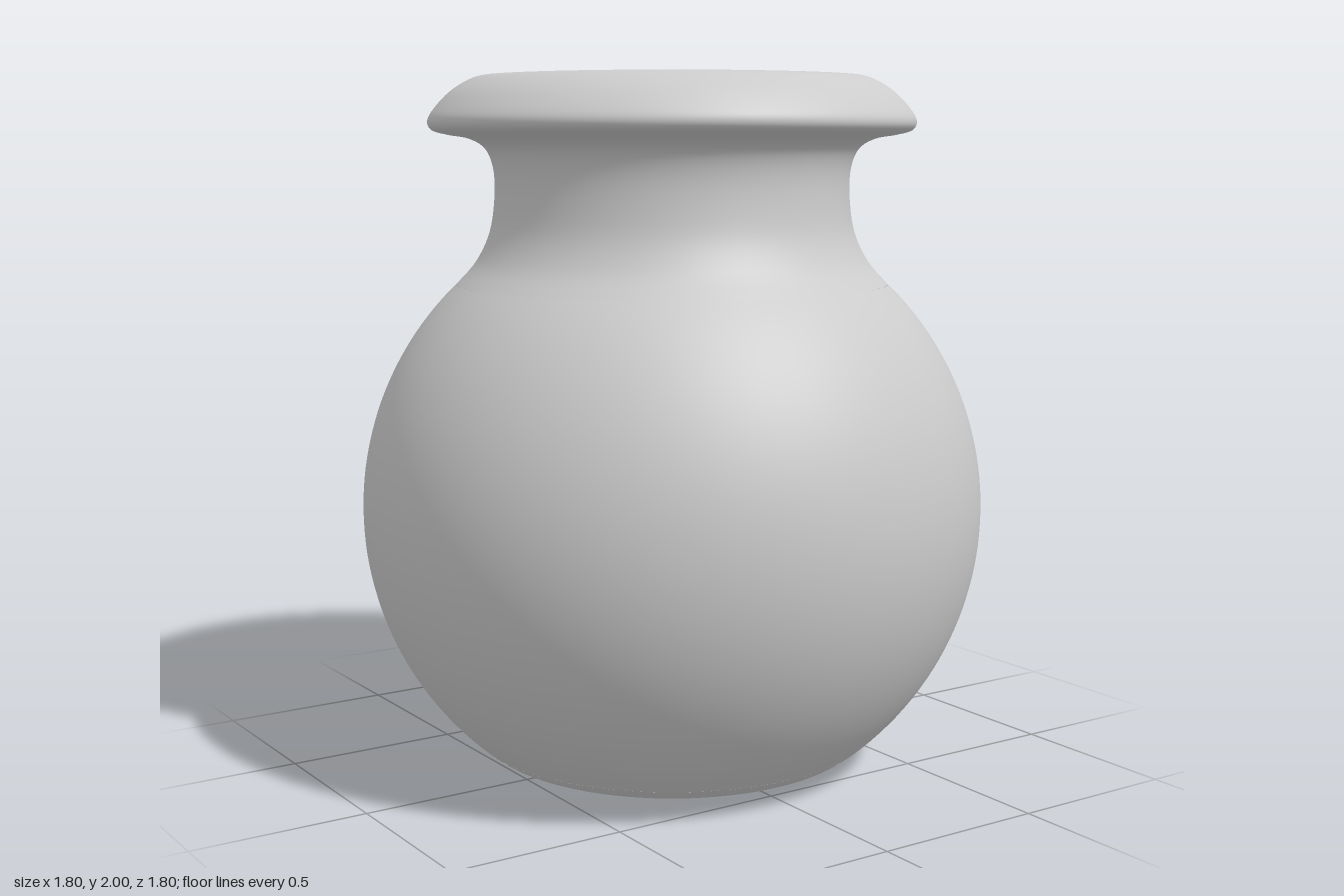
import * as THREE from 'three';

const CENTRE_Y = 0.76;
const SEGMENTS = 128;

const v = (x, y) => new THREE.Vector2(x, y);
const smooth = (pairs, n) => new THREE.SplineCurve(pairs.map(p => v(...p))).getPoints(n);

// Points of a circular belly wall between two heights
function belly(radius, y0, y1, n) {
  const a0 = Math.asin((y0 - CENTRE_Y) / radius);
  const a1 = Math.asin((y1 - CENTRE_Y) / radius);
  return Array.from({ length: n + 1 }, (_, i) => {
    const a = a0 + (a1 - a0) * i / n;
    return v(radius * Math.cos(a), CENTRE_Y + radius * Math.sin(a));
  });
}

function lathe(name, points, material) {
  const mesh = new THREE.Mesh(new THREE.LatheGeometry(points, SEGMENTS), material);
  mesh.name = name;
  return mesh;
}

export function createModel() {
  const group = new THREE.Group();
  group.name = 'jar';
  const material = new THREE.MeshStandardMaterial({ color: 0xcccccc, side: THREE.DoubleSide });

  // Underside: low central bump, shallow recess and rounded foot ring
  const base = smooth([
    [0, 0.005], [0.1, 0.012], [0.2, 0.03], [0.3, 0.05], [0.4, 0.048],
    [0.46, 0.033], [0.5, 0.03], [0.54, 0.044], [0.584, 0.075],
  ], 36);

  // Neck and flared, rolled lip, ending at the throat
  const neck = smooth([
    [0.622, 1.41], [0.565, 1.475], [0.525, 1.56], [0.51, 1.66], [0.513, 1.74],
    [0.535, 1.795], [0.58, 1.823], [0.64, 1.834], [0.685, 1.847], [0.697, 1.872],
    [0.68, 1.905], [0.635, 1.953], [0.58, 1.988], [0.535, 2.0], [0.505, 1.985],
    [0.485, 1.94], [0.468, 1.9], [0.445, 1.86], [0.43, 1.8], [0.425, 1.66],
    [0.44, 1.55], [0.49, 1.45], [0.568, 1.345],
  ], 110);

  // Inner wall and floor
  const inner = belly(0.815, 1.345, 0.18, 40);
  const floor = smooth([[0.573, 0.18], [0.5, 0.135], [0.4, 0.12], [0.2, 0.11], [0, 0.105]], 14);

  group.add(
    lathe('base', base, material),
    lathe('belly', belly(0.9, 0.075, 1.41, 48), material),
    lathe('neckAndLip', neck, material),
    lathe('innerWall', inner, material),
    lathe('innerFloor', floor, material),
  );
  return group;
}
